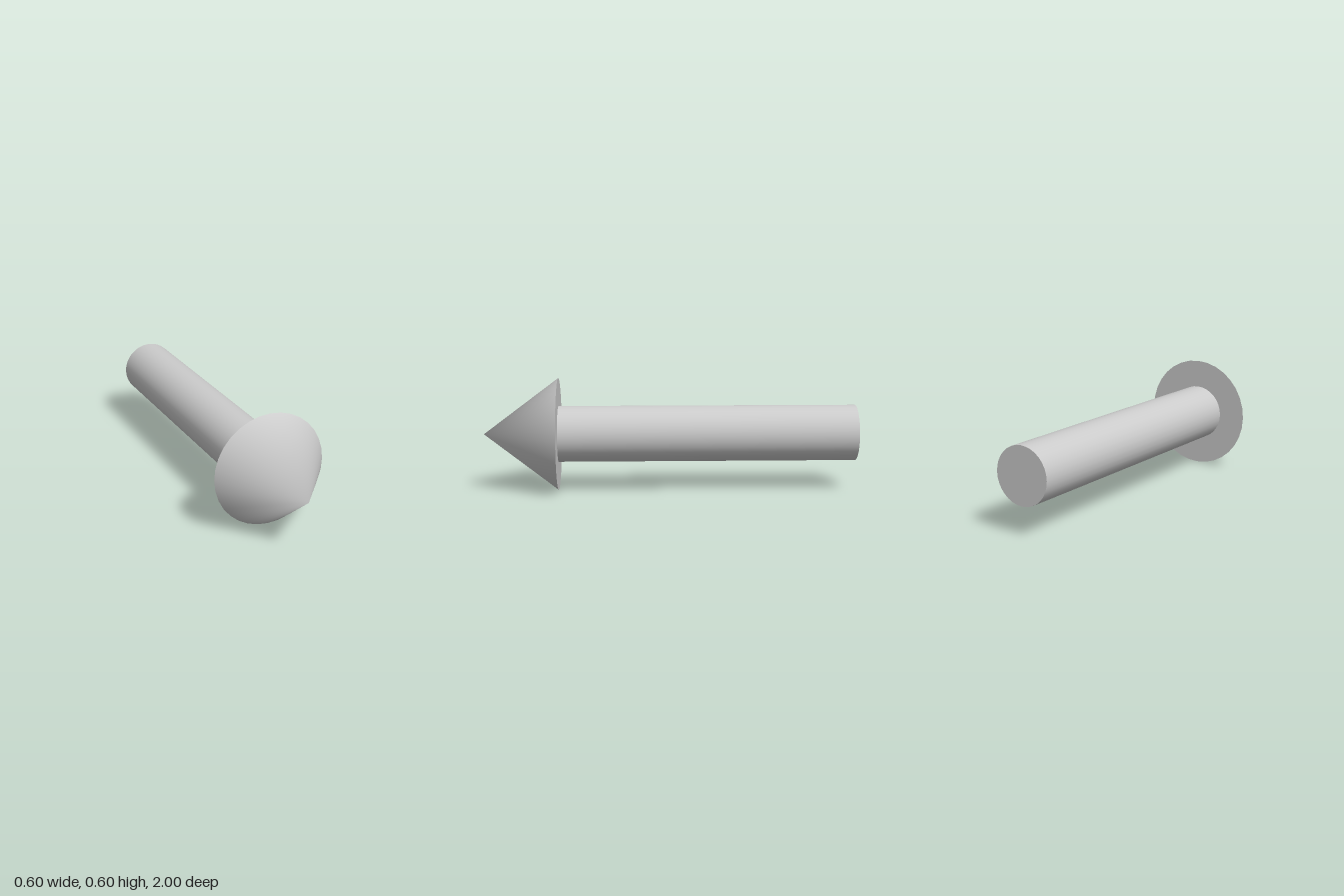
import * as THREE from 'three';

const SIDES = 32;
const AXIS_HEIGHT = 0.3;

export function createModel() {
  const model = new THREE.Group();
  model.name = 'arrow';
  const material = new THREE.MeshStandardMaterial({ color: 0xcccccc });

  // Lays an upright geometry along +z, centred at the given z
  function addPart(name, geometry, z) {
    geometry.rotateX(Math.PI / 2);
    const mesh = new THREE.Mesh(geometry, material);
    mesh.name = name;
    mesh.position.set(0, AXIS_HEIGHT, z);
    model.add(mesh);
  }

  // Shaft: capped cylinder from the tail to the back of the head
  addPart('shaft', new THREE.CylinderGeometry(0.15, 0.15, 1.6, SIDES), -0.2);

  // Head: cone with a softly shaded tip and a crisp rim
  const head = new THREE.ConeGeometry(0.3, 0.4, SIDES);
  for (let i = 0; i <= SIDES; i++) head.attributes.normal.setXYZ(i, 0, 1, 0);
  addPart('arrowHead', head, 0.8);

  return model;
}
